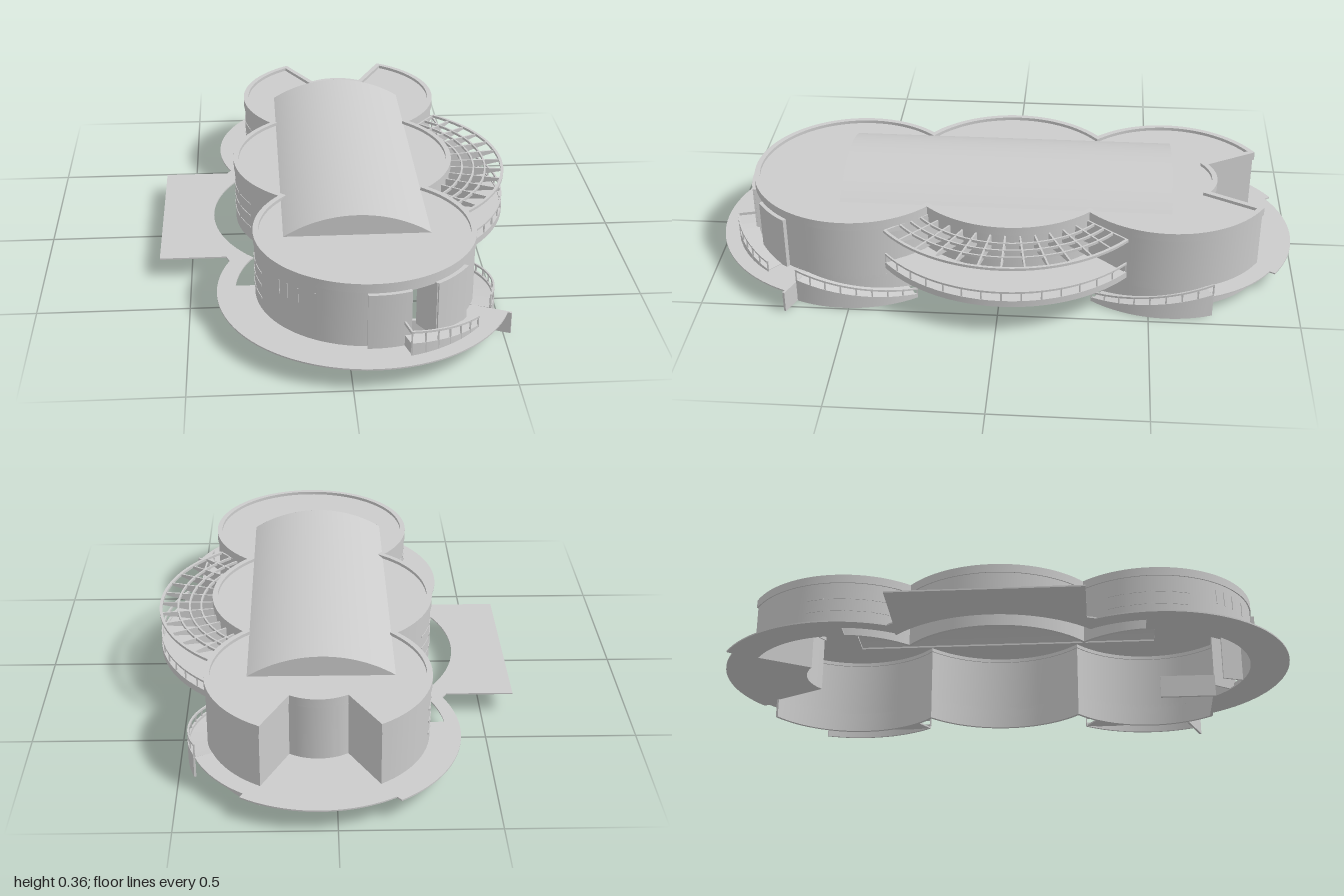
import * as THREE from 'three';
import { toCreasedNormals } from 'three/addons/utils/BufferGeometryUtils.js';

const grey = new THREE.MeshStandardMaterial({ color: 0xcccccc, side: THREE.DoubleSide });
const rad = THREE.MathUtils.degToRad, lerp = THREE.MathUtils.lerp;

// the three round halls and the pergola centre, in plan (x, z)
const F = { x: 0.07, z: 0.52, r: 0.35 };
const M = { x: 0.035, z: -0.02, r: 0.375 };
const B = { x: 0.055, z: -0.56, r: 0.355 };
const P = { x: 0.085, z: -0.02, r: 0.515 };

const at = (c, r, deg) => new THREE.Vector2(c.x + r * Math.cos(rad(deg)), c.z + r * Math.sin(rad(deg)));
function arc(c, r, a0, a1) {
  const n = Math.max(2, Math.ceil(Math.abs(a1 - a0) / 4));
  return Array.from({ length: n + 1 }, (_, i) => at(c, r, lerp(a0, a1, i / n)));
}
const V = (x, z) => new THREE.Vector2(x, z);
const slope = (a, b) => t => lerp(a, b, t);

// upright strip of given thickness along a plan path; heights may vary along it
function band(path, thick, y0, y1, closed = false) {
  const pts = path.filter((p, i) => i === 0 || p.distanceTo(path[i - 1]) > 0.002);
  if (closed && pts[0].distanceTo(pts[pts.length - 1]) < 0.008) pts.pop();
  const n = pts.length, pos = [], idx = [];
  const h = (y, t) => (typeof y === 'function' ? y(t) : y);
  pts.forEach((p, i) => {
    const prev = closed ? pts[(i + n - 1) % n] : pts[Math.max(0, i - 1)];
    const next = closed ? pts[(i + 1) % n] : pts[Math.min(n - 1, i + 1)];
    const a = p.clone().sub(prev).normalize(), b = next.clone().sub(p).normalize();
    const t = a.clone().add(b).normalize();
    const along = Math.max(0.5, t.dot(a.lengthSq() ? a : b));
    const nx = t.y * thick / 2 / along, nz = -t.x * thick / 2 / along;
    const lo = h(y0, i / (n - 1)), hi = h(y1, i / (n - 1));
    pos.push(p.x + nx, lo, p.y + nz, p.x - nx, lo, p.y - nz, p.x - nx, hi, p.y - nz, p.x + nx, hi, p.y + nz);
  });
  for (let i = 0; i < (closed ? n : n - 1); i++) {
    const a = i * 4, b = ((i + 1) % n) * 4;
    for (let j = 0; j < 4; j++) {
      const k = (j + 1) % 4;
      idx.push(a + j, b + j, b + k, a + j, b + k, a + k);
    }
  }
  const e = (n - 1) * 4;
  if (!closed) idx.push(0, 1, 2, 0, 2, 3, e, e + 2, e + 1, e, e + 3, e + 2);
  const g = new THREE.BufferGeometry();
  g.setAttribute('position', new THREE.Float32BufferAttribute(pos, 3));
  g.setIndex(idx);
  return toCreasedNormals(g, 0.5);
}

// horizontal plate cut to a plan outline
function plate(pts, top, depth, hole) {
  const s = new THREE.Shape(pts);
  if (hole) s.holes.push(new THREE.Path(hole));
  const g = new THREE.ExtrudeGeometry(s, { depth, bevelEnabled: false });
  return toCreasedNormals(g.rotateX(Math.PI / 2).translate(0, top, 0), 0.5);
}

export function createModel() {
  const model = new THREE.Group();
  const add = (name, geo, parent = model) => {
    const m = new THREE.Mesh(geo, grey);
    m.name = name;
    parent.add(m);
    return m;
  };
  const group = name => {
    const g = new THREE.Group();
    g.name = name;
    model.add(g);
    return g;
  };
  // curved handrail with posts standing on a sloping or level base
  function railing(name, c, r, a0, a1, base, top, posts) {
    const g = group(name);
    add('handrail', band(arc(c, r, a0, a1), 0.006, t => top(t) - 0.007, top), g);
    for (let i = 0; i <= posts; i++) {
      const t = i / posts, p = at(c, r, lerp(a0, a1, t)), y0 = base(t), y1 = top(t);
      add('post', new THREE.BoxGeometry(0.005, y1 - y0, 0.005).translate(p.x, (y0 + y1) / 2, p.y), g);
    }
  }

  // main walls: three joined circles with a wedge notch at the back and a doorway in front
  const rest = [
    ...arc(M, M.r, 126.3, 231.2), ...arc(B, B.r, 135.8, 237.5),
    ...arc(B, 0.161, 233.8, 306.2), ...arc(B, B.r, 301.1, 408.4), ...arc(M, M.r, -46.9, 46.3),
  ];
  const outline = [...arc(F, F.r, -50.2, 222.8), ...rest];
  add('outerWall', band([...arc(F, F.r, 71.7, 222.8), ...rest, ...arc(F, F.r, -50.2, 57)], 0.01, 0.07, 0.28));
  add('parapet', band(outline, 0.018, 0.266, 0.296, true));
  add('doorLintel', band(arc(F, F.r, 57, 71.7), 0.012, 0.258, 0.28));
  for (const [a, b] of [[34, 57], [71.7, 93]]) add('entranceFacing', band(arc(F, 0.363, a, b), 0.014, 0.07, 0.262));
  for (const a of [57, 71.7]) add('doorJamb', band([at(F, 0.27, a), at(F, 0.365, a)], 0.006, 0.07, 0.262));

  // roof with a barrel vault over its opening
  add('roof', plate(outline, 0.285, 0.006, [V(-0.175, -0.56), V(-0.175, 0.54), V(0.27, 0.54), V(0.27, -0.56)]));
  const R = 0.437, half = 0.595, vault = group('vault');
  vault.position.set(0.045, 0.355 - R, -0.01);
  add('vaultShell', new THREE.CylinderGeometry(R, R, 1.12, 32, 1, true, -half, half * 2).rotateX(-Math.PI / 2), vault);
  const segment = new THREE.Shape().absarc(0, 0, R, Math.PI / 2 - half, Math.PI / 2 + half);
  for (const s of [1, -1]) {
    const end = add('vaultEnd', new THREE.ShapeGeometry(segment, 24), vault);
    end.position.z = 0.56 * s;
    if (s < 0) end.rotation.y = Math.PI;
  }

  // terrace with a forecourt and a light well along the right-hand side (-x)
  add('terrace', plate([
    ...arc(F, 0.48, 22.7, 203.8),
    V(-0.38, 0.295), V(-0.605, 0.295), V(-0.605, -0.345), V(-0.38, -0.345),
    ...arc(B, 0.462, 155.4, 237.6), ...arc(B, 0.44, 238, 303.5), ...arc(B, 0.42, 303.8, 339),
    ...arc(B, 0.35, 339, 301.1), ...arc(B, 0.161, 306.2, 233.8), ...arc(B, 0.35, 237.5, 173.6),
    ...arc(B, 0.415, 174.5, 149.6), ...arc(M, 0.46, 225.4, 134.6),
    ...arc(F, 0.42, 208.4, 184.1), ...arc(F, 0.345, 185, 22.7),
  ], 0.075, 0.005));
  add('terraceTip', band([at(F, 0.36, 22.7), at(F, 0.493, 22.7)], 0.008, 0, 0.075));

  // lower storey, open to the left-hand side (+x)
  add('lowerWall', band([
    ...arc(B, B.r, 301.1, 408.4), ...arc(M, M.r, -46.9, 46.3), ...arc(F, F.r, -50.2, 39), V(0.15, 0.74), V(0.15, 0.55),
  ], 0.01, 0, 0.08));

  // two curved ramps from terrace to ground
  for (const [c, a0, a1] of [[F, 22, -35], [B, 339, 396.5]]) {
    add('ramp', band(arc(c, 0.386, a0, a1), 0.07, slope(0.065, 0), slope(0.075, 0.006)));
    add('rampWall', band(arc(c, 0.421, a0, a1), 0.007, 0, slope(0.085, 0.015)));
    railing('rampRailing', c, 0.421, a0, a1, slope(0.08, 0.01), slope(0.125, 0.038), 8);
  }

  // entrance ramp in front of the doorway
  add('entranceRamp', band(arc(F, 0.393, 75, 38.5), 0.065, slope(0.072, 0.072), slope(0.112, 0.077)));
  railing('entranceRailing', F, 0.427, 75, 38.5, slope(0.075, 0.075), slope(0.16, 0.115), 6);
  add('entranceKerb', band(arc(F, 0.427, 75, 38.5), 0.005, 0.07, slope(0.118, 0.083)));
  add('entranceEndRail', band([at(F, 0.36, 75), at(F, 0.427, 75)], 0.006, 0.15, 0.16));

  // balcony between the halls
  const spread = 51;
  add('balconyDeck', plate([...arc(P, P.r, -spread, spread), ...arc(M, 0.372, 46, -46)], 0.13, 0.012));
  add('balconyFascia', band(arc(P, P.r, -spread, spread), 0.008, 0.112, 0.135));
  railing('balconyRailing', P, P.r, -spread, spread, () => 0.13, () => 0.17, 14);

  // pergola: concentric hoops on tapering radial fins
  const pergola = group('pergola');
  for (const r of [0.375, 0.415, 0.455, P.r]) {
    add('hoop', band(arc(P, r, -spread, spread), r === P.r ? 0.01 : 0.006, 0.254, 0.263), pergola);
  }
  for (let i = 0; i <= 12; i++) {
    const a = lerp(-spread, spread, i / 12), s = Math.sin(rad(a));
    const inner = -0.05 * Math.cos(rad(a)) + Math.sqrt(M.r ** 2 - 0.0025 * s * s);
    add('fin', band([at(P, inner, a), at(P, P.r, a)], 0.006, slope(0.212, 0.254), 0.262), pergola);
  }

  // window strips on the right-hand side (-x) and slim front windows
  const windows = group('windows');
  for (const [c, a0, a1] of [[F, 160, 208], [M, 150, 210], [B, 150, 198]]) {
    for (const y of [0.115, 0.16, 0.205]) {
      for (let i = 0; i < 4; i++) {
        const w = (a1 - a0) / 4, a = a0 + i * w;
        add('windowStrip', band(arc(c, c.r + 0.005, a, a + w * 0.8), 0.004, y, y + 0.006), windows);
      }
    }
  }
  for (const a of [119, 129, 136, 142]) {
    add('slimWindow', band(arc(F, F.r + 0.005, a, a + 0.8), 0.004, 0.19, 0.24), windows);
  }
  return model;
}
